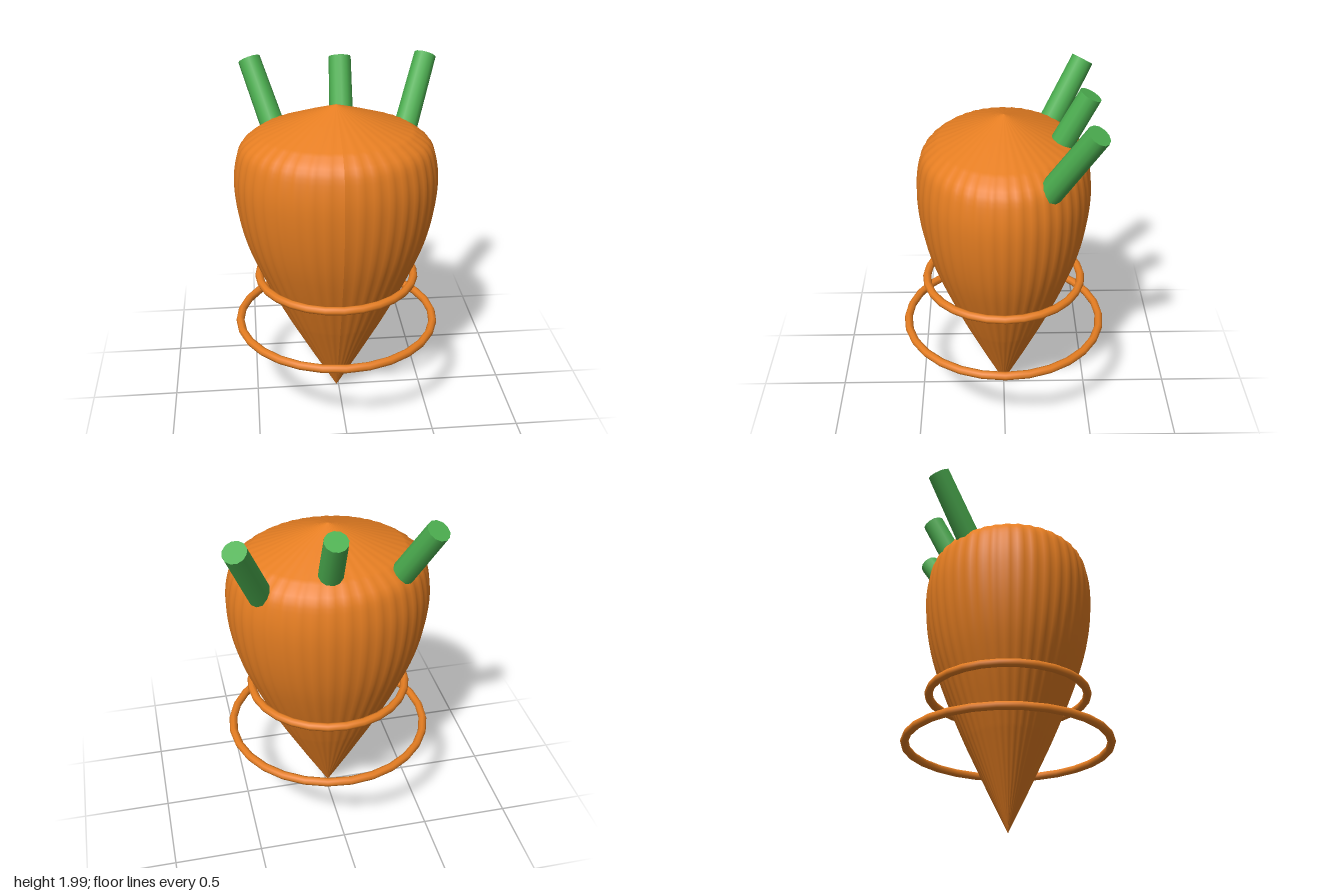
import * as THREE from 'three';

const orange = new THREE.MeshStandardMaterial({ color: 0xe67e22 });
orange.name = 'carrot orange';
const green = new THREE.MeshStandardMaterial({ color: 0x4caf50 });
green.name = 'stem green';

const CENTER_X = -0.013;

// Tapered root: a lathe squashed front to back, with fine vertical pleats
function makeRoot() {
  const side = new THREE.SplineCurve([
    [0.275, 0.51], [0.335, 0.63], [0.42, 0.81], [0.5, 1.01], [0.548, 1.2],
    [0.566, 1.38], [0.553, 1.52], [0.515, 1.62], [0.42, 1.69],
  ].map(([r, y]) => new THREE.Vector2(r, y)));
  const profile = [
    new THREE.Vector2(0, 0.01),
    new THREE.Vector2(0.14, 0.26),
    ...side.getPoints(28),
    new THREE.Vector2(0.21, 1.765),
    new THREE.Vector2(0, 1.835),
  ];
  const pleats = 40;
  const geometry = new THREE.LatheGeometry(profile, pleats * 4);
  const p = geometry.attributes.position;
  for (let i = 0; i < p.count; i++) {
    const x = p.getX(i), z = p.getZ(i);
    const k = 1 + 0.008 * Math.cos(pleats * Math.atan2(x, z));
    p.setXYZ(i, x * k, p.getY(i), z * k * 0.85);
  }
  geometry.computeVertexNormals();
  const root = new THREE.Mesh(geometry, orange);
  root.name = 'root';
  root.position.x = CENTER_X;
  return root;
}

// Horizontal hoop around the root
function makeRing(name, y, radius) {
  const ring = new THREE.Mesh(new THREE.TorusGeometry(radius, 0.024, 8, 28), orange);
  ring.name = name;
  ring.rotation.x = Math.PI / 2;
  ring.position.set(CENTER_X, y, 0);
  return ring;
}

// Leaning stem between two points
function makeStem(name, from, to) {
  const a = new THREE.Vector3(...from), b = new THREE.Vector3(...to);
  const axis = b.clone().sub(a);
  const stem = new THREE.Mesh(new THREE.CylinderGeometry(0.064, 0.069, axis.length(), 12), green);
  stem.name = name;
  stem.position.copy(a).add(b).multiplyScalar(0.5);
  stem.quaternion.setFromUnitVectors(new THREE.Vector3(0, 1, 0), axis.normalize());
  return stem;
}

export function createModel() {
  const model = new THREE.Group();
  model.name = 'carrot';
  model.add(
    makeRoot(),
    makeRing('upperRing', 0.805, 0.451),
    makeRing('lowerRing', 0.51, 0.574),
    makeStem('rightStem', [-0.345, 1.61, -0.26], [-0.47, 1.967, -0.455]),
    makeStem('middleStem', [0.043, 1.62, -0.275], [0.05, 1.967, -0.455]),
    makeStem('leftStem', [0.4, 1.575, -0.23], [0.547, 1.967, -0.45]),
  );
  return model;
}
